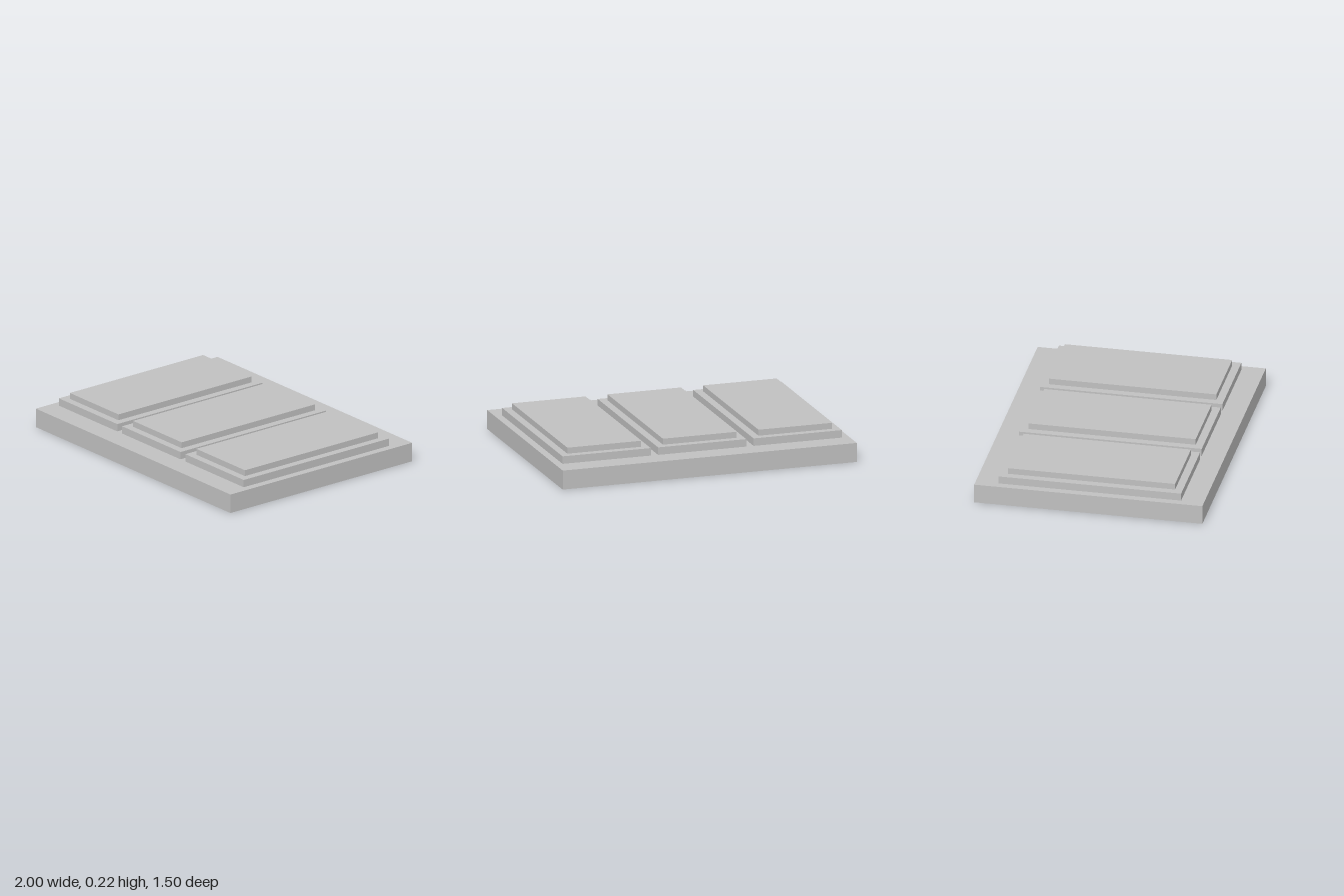
import * as THREE from 'three';

export function createModel() {
  const model = new THREE.Group();
  const grey = new THREE.MeshStandardMaterial({ color: 0xc0c0c0 });
  grey.name = 'plain grey';

  // Box resting on a given height
  const slab = (parent, name, width, height, depth, x, bottom) => {
    const mesh = new THREE.Mesh(new THREE.BoxGeometry(width, height, depth), grey);
    mesh.name = name;
    mesh.position.set(x, bottom + height / 2, 0);
    parent.add(mesh);
  };

  const baseTop = 0.127, lowerTop = 0.177, upperTop = 0.217;
  slab(model, 'base', 2, baseTop, 1.5, 0, 0);

  // Three stepped panels, side by side
  [['rightPanel', -0.65], ['middlePanel', 0], ['leftPanel', 0.65]].forEach(([name, x]) => {
    const panel = new THREE.Group();
    panel.name = name;
    slab(panel, 'lowerStep', 0.6, lowerTop - baseTop, 1.2, x, baseTop);
    slab(panel, 'upperStep', 0.5, upperTop - lowerTop, 1.1, x, lowerTop);
    model.add(panel);
  });

  return model;
}
